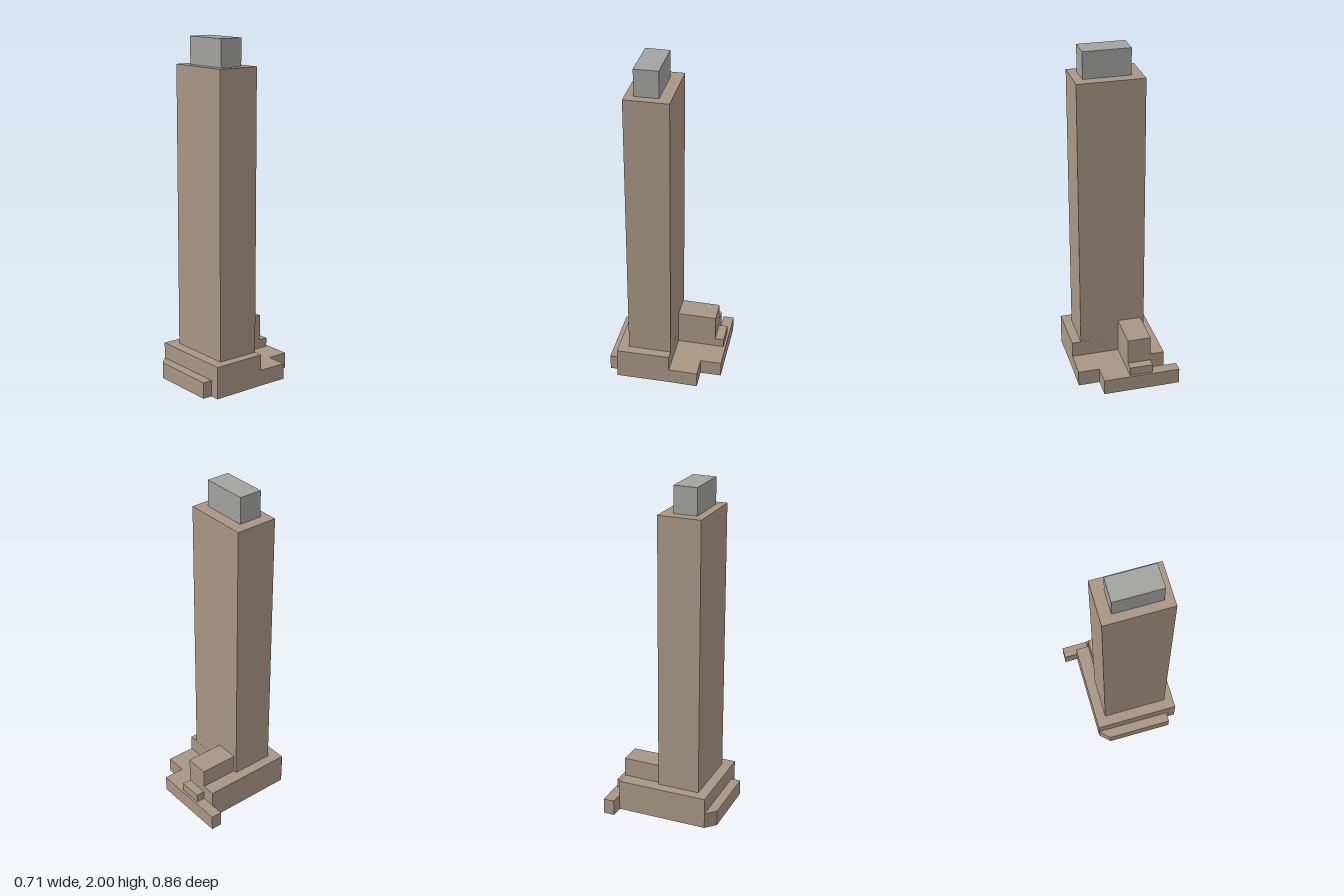
import * as THREE from 'three';

const stone = new THREE.MeshStandardMaterial({ color: 0xa89685, flatShading: true });
const plant = new THREE.MeshStandardMaterial({ color: 0xa2a39f, flatShading: true });

// Upright prism: plan outline as [x, z] points, from height y0 to y1
function prism(name, plan, y0, y1, material = stone) {
  const shape = new THREE.Shape(plan.map(([x, z]) => new THREE.Vector2(x, -z)));
  const geometry = new THREE.ExtrudeGeometry(shape, { depth: y1 - y0, bevelEnabled: false });
  geometry.rotateX(-Math.PI / 2);
  geometry.translate(0, y0, 0);
  const mesh = new THREE.Mesh(geometry, material);
  mesh.name = name;
  return mesh;
}

export function createModel() {
  const model = new THREE.Group();
  model.name = 'towerBuilding';
  const low = 0.095, mid = 0.19, roof = 1.843;

  model.add(
    // Ground storey with chamfered front terrace and rear wing
    prism('groundStorey', [
      [-0.355, 0.1], [-0.344, 0.182], [-0.035, 0.429], [0.001, 0.385], [0.045, 0.419],
      [0.243, 0.168], [0.353, 0.035], [0.253, -0.044], [0.331, -0.142],
      [-0.03, -0.431], [-0.072, -0.38], [-0.01, -0.33],
    ], 0, low),
    // L-shaped podium: below the tower and along the side to the back
    prism('podium', [
      [-0.355, 0.1], [0.045, 0.419], [0.243, 0.168], [-0.091, -0.099],
      [0.055, -0.278], [-0.01, -0.33],
    ], low, mid),
    // Rear block and its lower step
    prism('rearBlock', [
      [-0.091, -0.099], [0.019, -0.011], [0.164, -0.191], [0.055, -0.278],
    ], low, 0.305),
    prism('rearStep', [
      [0.055, -0.278], [0.164, -0.191], [0.197, -0.232], [0.088, -0.319],
    ], low, 0.148),
    // Tower shaft and rooftop plant room
    prism('tower', [
      [-0.268, 0.088], [0.041, 0.335], [0.201, 0.135], [-0.107, -0.112],
    ], mid, roof),
    prism('roofPlantRoom', [
      [-0.187, 0.09], [0.031, 0.265], [0.118, 0.156], [-0.099, -0.018],
    ], roof, 2, plant),
  );
  return model;
}
